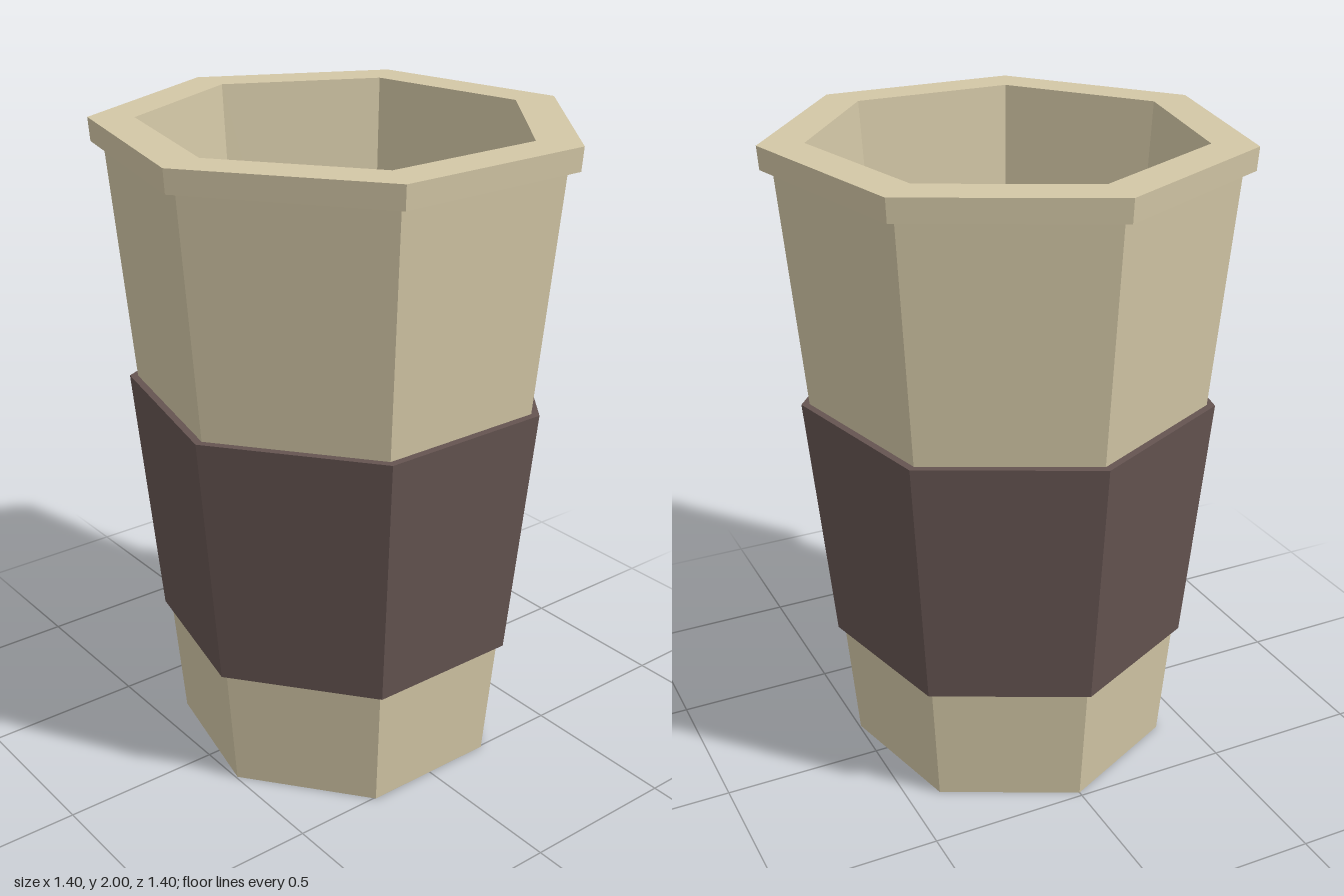
import * as THREE from 'three';

const SIDES = 7;
const DEPTH = 1.025; // the heptagon is slightly deeper than wide
const CENTRE_Z = 0.036; // centres the heptagon's bounds on z = 0

// Seven-sided shell turned from [radius, height] points, one corner at the back
function heptagonShell(name, profile, material) {
  const points = profile.map(([r, y]) => new THREE.Vector2(r, y));
  const geometry = new THREE.LatheGeometry(points, SIDES, Math.PI, Math.PI * 2);
  geometry.scale(1, 1, DEPTH);
  geometry.translate(0, 0, CENTRE_Z);
  const mesh = new THREE.Mesh(geometry, material);
  mesh.name = name;
  return mesh;
}

export function createModel() {
  const cream = new THREE.MeshStandardMaterial({ color: 0xd3c7a6, flatShading: true });
  cream.name = 'cream cup';
  const brown = new THREE.MeshStandardMaterial({ color: 0x655451, flatShading: true });
  brown.name = 'brown sleeve';

  const cup = new THREE.Group();
  cup.name = 'cup';

  // Base and tapered outer wall
  cup.add(heptagonShell('outerWall', [[0, 0], [0.508, 0], [0.677, 1.93]], cream));

  // Overhanging lip, from its underside over to the opening
  cup.add(heptagonShell('rim', [[0.677, 1.93], [0.713, 1.93], [0.718, 2], [0.583, 2]], cream));

  // Hollow inside, down to the floor
  cup.add(heptagonShell('innerWall', [[0.583, 2], [0.443, 0.1], [0, 0.1]], cream));

  // Grip band with narrow ledges above and below
  cup.add(heptagonShell('sleeve', [[0.54, 0.4], [0.564, 0.4], [0.638, 1.2], [0.61, 1.2]], brown));

  return cup;
}
